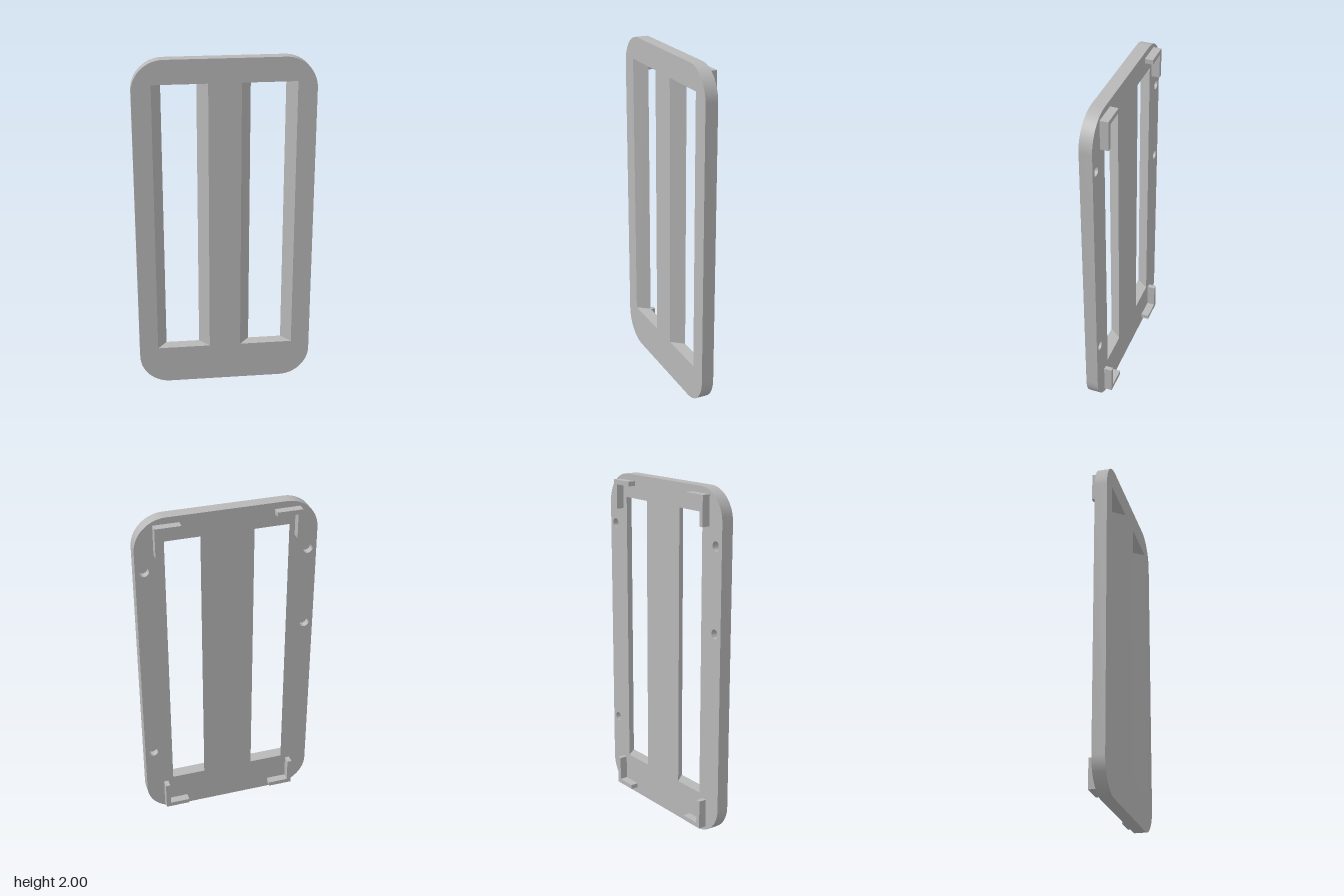
import * as THREE from 'three';
import { toCreasedNormals } from 'three/addons/utils/BufferGeometryUtils.js';

const HALF_W = 0.517, RADIUS = 0.18;
const Z_FRONT = 0.06, Z_BACK = -0.013, Z_CLIP = -0.06;
const SLOT_Y0 = 0.23, SLOT_Y1 = 1.862;
const HOLE_R = 0.027, HOLE_DEPTH = 0.04;
const HOLES = [[0.467, 1.694], [0.467, 0.455], [-0.467, 1.694], [-0.467, 1.21]];

// Counter-clockwise loops of points
function rect(x0, x1, y0, y1) {
  return [[x0, y0], [x1, y0], [x1, y1], [x0, y1]].map(([x, y]) => new THREE.Vector2(x, y));
}
function circle(cx, cy, r, n = 32) {
  return Array.from({ length: n }, (_, i) => {
    const a = (i / n) * Math.PI * 2;
    return new THREE.Vector2(cx + r * Math.cos(a), cy + r * Math.sin(a));
  });
}
function roundedOutline() {
  const pts = [], n = 16;
  const centres = [[1, 1], [-1, 1], [-1, -1], [1, -1]];
  centres.forEach(([sx, sy], k) => {
    for (let i = 0; i <= n; i++) {
      const a = (k + i / n) * Math.PI / 2;
      pts.push(new THREE.Vector2(
        sx * (HALF_W - RADIUS) + RADIUS * Math.cos(a),
        1 + sy * (1 - RADIUS) + RADIUS * Math.sin(a)));
    }
  });
  return pts;
}

// Flat face with openings, facing +z or -z
function face(outline, openings, z, facesBack = false) {
  const shape = new THREE.Shape(outline);
  shape.holes = openings.map((o) => new THREE.Path(o));
  const g = new THREE.ShapeGeometry(shape);
  g.translate(0, 0, z);
  if (facesBack) {
    g.index.array.reverse();
    g.computeVertexNormals();
  }
  return g;
}

// Wall joining a back loop to a front loop; inward for openings
function wall(back, zBack, front, zFront, inward = false) {
  const pos = [], n = back.length;
  for (let i = 0; i < n; i++) {
    const j = (i + 1) % n;
    const a = [back[i].x, back[i].y, zBack], b = [back[j].x, back[j].y, zBack];
    const c = [front[j].x, front[j].y, zFront], d = [front[i].x, front[i].y, zFront];
    const quad = inward ? [a, c, b, a, d, c] : [a, b, c, a, c, d];
    pos.push(...quad.flat());
  }
  const g = new THREE.BufferGeometry();
  g.setAttribute('position', new THREE.Float32BufferAttribute(pos, 3));
  return toCreasedNormals(g, 0.6);
}

export function createModel() {
  const model = new THREE.Group();
  model.name = 'slottedCoverPlate';
  const grey = new THREE.MeshStandardMaterial({ color: 0xb8b8b8 });
  grey.name = 'plain grey';
  const add = (name, geometry, parent = model) => {
    const mesh = new THREE.Mesh(geometry, grey);
    mesh.name = name;
    parent.add(mesh);
    return mesh;
  };

  // Plate with two slots that widen sideways towards the front
  const outline = roundedOutline();
  const slotsFront = [rect(-0.407, -0.093, SLOT_Y0, SLOT_Y1), rect(0.093, 0.407, SLOT_Y0, SLOT_Y1)];
  const slotsBack = [rect(-0.352, -0.152, SLOT_Y0, SLOT_Y1), rect(0.152, 0.352, SLOT_Y0, SLOT_Y1)];
  const holeLoops = HOLES.map(([x, y]) => circle(x, y, HOLE_R));
  const plate = new THREE.Group();
  plate.name = 'plate';
  model.add(plate);
  add('plateFront', face(outline, slotsFront, Z_FRONT), plate);
  add('plateBack', face(outline, [...slotsBack, ...holeLoops], Z_BACK, true), plate);
  add('plateRim', wall(outline, Z_BACK, outline, Z_FRONT), plate);
  slotsBack.forEach((s, i) => add('slotWall', wall(s, Z_BACK, slotsFront[i], Z_FRONT, true), plate));

  // Blind round holes in the back
  holeLoops.forEach((loop) => {
    const z = Z_BACK + HOLE_DEPTH;
    add('holeWall', wall(loop, Z_BACK, loop, z, true), plate);
    add('holeFloor', face(loop, [], z, true), plate);
  });

  // L-shaped locating ribs at the four back corners
  const x0 = 0.265, x1 = 0.411, t = 0.027;
  for (const sx of [-1, 1]) {
    for (const sy of [-1, 1]) {
      const y0 = 0.793, y1 = 0.963; // measured from mid height
      const corner = [[x0, y1 - t], [x1 - t, y1 - t], [x1 - t, y0], [x1, y0], [x1, y1], [x0, y1]];
      const shape = new THREE.Shape(corner.map(([x, y]) => new THREE.Vector2(sx * x, 1 + sy * y)));
      const g = new THREE.ExtrudeGeometry(shape, { depth: Z_BACK - Z_CLIP, bevelEnabled: false });
      g.translate(0, 0, Z_CLIP);
      add('cornerRib', g);
    }
  }
  return model;
}
